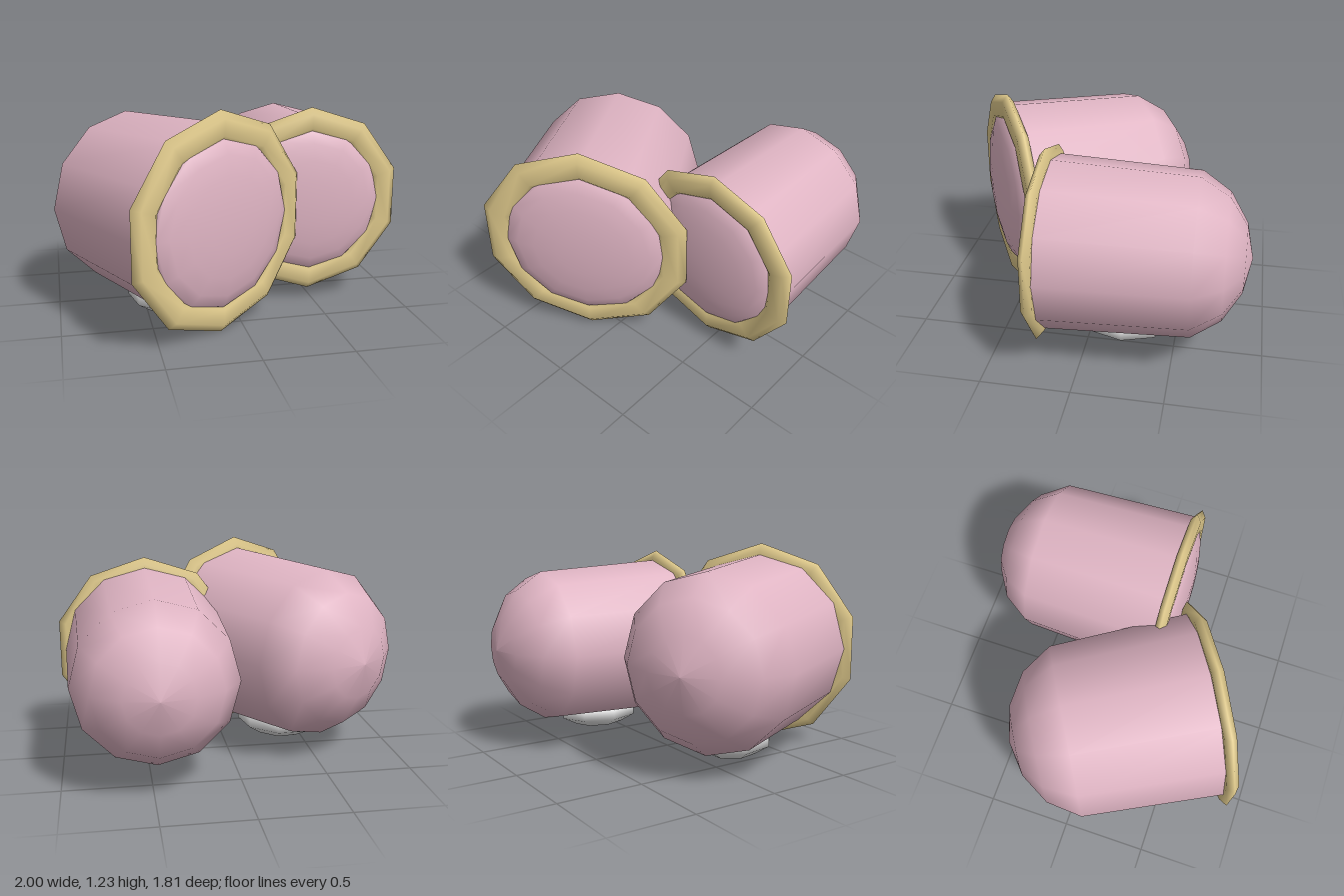
import * as THREE from 'three';

const pink = new THREE.MeshStandardMaterial({ color: 0xe0b5c4 });
pink.name = 'dusty pink';
const gold = new THREE.MeshStandardMaterial({ color: 0xe0ca8c });
gold.name = 'pale gold';
const white = new THREE.MeshStandardMaterial({ color: 0xe2e2e2 });
white.name = 'light grey';

function part(name, geometry, material) {
  const mesh = new THREE.Mesh(geometry, material);
  mesh.name = name;
  return mesh;
}

// One pod facing +z, with its rim ring centred on the origin
function makePod(name, length, footZ) {
  const pod = new THREE.Group();
  pod.name = name;

  // Tapered barrel with a rounded back
  const profile = [
    [0, -length - 0.3], [0.19, -length - 0.26], [0.35, -length - 0.16],
    [0.455, -length], [0.49, 0],
  ].map(([r, z]) => new THREE.Vector2(r, z));
  const body = new THREE.LatheGeometry(profile, 12);
  body.rotateX(Math.PI / 2);
  pod.add(part('body', body, pink));

  // Shallow domed front
  const dome = new THREE.SphereGeometry(1, 12, 5, 0, Math.PI * 2, 0, Math.PI / 2);
  dome.rotateX(Math.PI / 2);
  dome.scale(0.43, 0.43, 0.09);
  pod.add(part('frontDome', dome, pink));

  // Flattened ten-sided rim with a corner at the top
  const rim = new THREE.TorusGeometry(0.47, 0.08, 6, 10);
  rim.rotateZ(Math.PI / 10);
  rim.scale(1, 1, 0.45);
  pod.add(part('rim', rim, gold));

  // Oval foot underneath
  const foot = new THREE.SphereGeometry(1, 8, 5);
  foot.scale(0.215, 0.1, 0.265);
  foot.translate(0, -0.45, footZ);
  pod.add(part('foot', foot, white));
  return pod;
}

export function createModel() {
  const model = new THREE.Group();
  model.name = 'twinPods';

  const small = makePod('smallPod', 0.83, -0.45);
  small.position.set(0.475, 0.615, 0.23);

  const large = makePod('largePod', 0.757, -0.396);
  large.position.set(-0.14, 0.615, 0.61);
  large.rotation.y = Math.PI / 6;
  large.scale.setScalar(1.118);

  model.add(small, large);
  return model;
}
